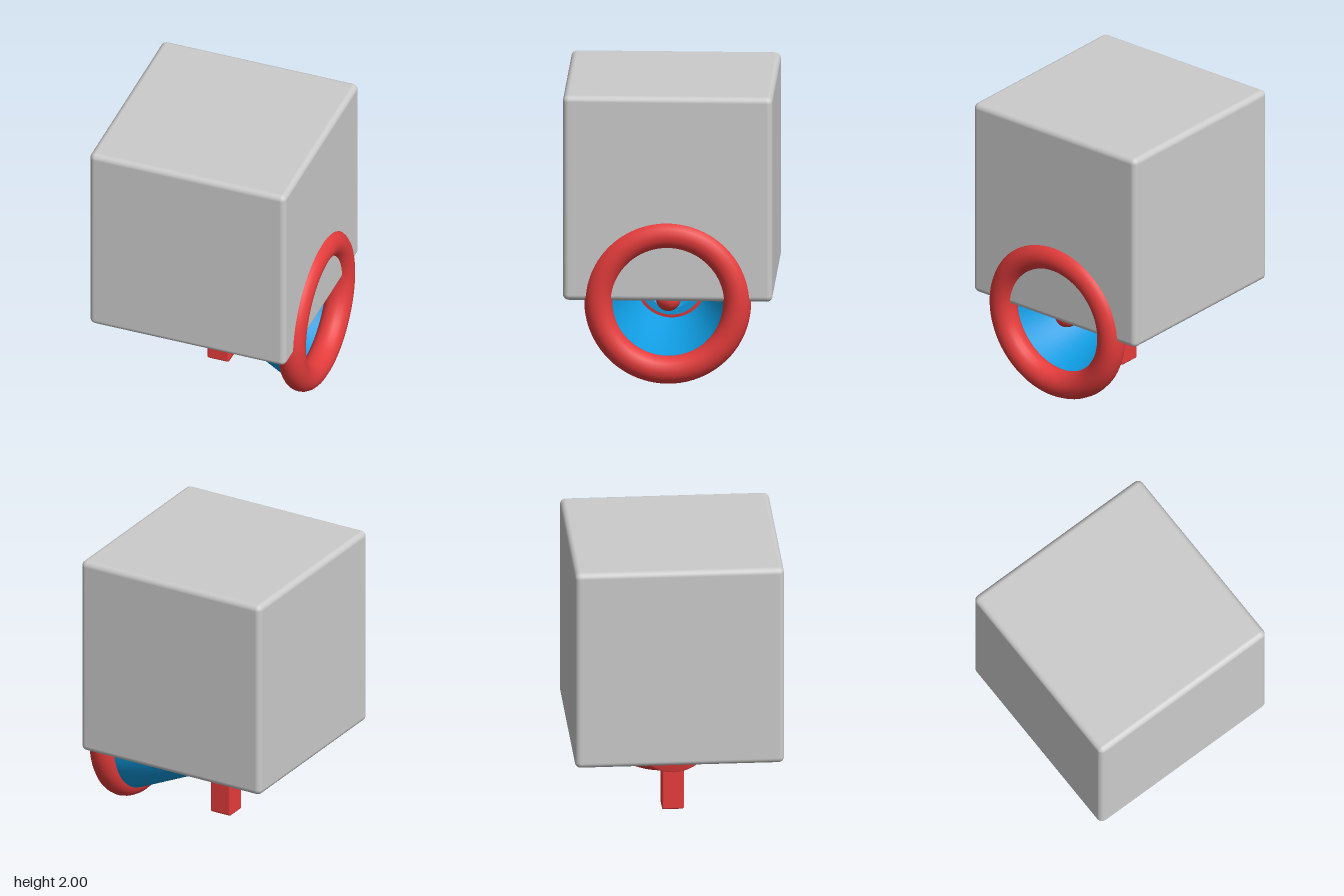
import * as THREE from 'three';
import { RoundedBoxGeometry } from 'three/addons/geometries/RoundedBoxGeometry.js';
import { toCreasedNormals } from 'three/addons/utils/BufferGeometryUtils.js';

const material = (color) => new THREE.MeshStandardMaterial({ color, side: THREE.DoubleSide });
const AXIS_Y = 0.57; // height of the horn's axis

export function createModel() {
  const model = new THREE.Group();
  const grey = material(0xcccccc);
  const red = material(0xe63c3c);
  const blue = material(0x0f9be0);

  const add = (parent, name, geometry, mat, x = 0, y = 0, z = 0) => {
    const mesh = new THREE.Mesh(geometry, mat);
    mesh.name = name;
    mesh.position.set(x, y, z);
    parent.add(mesh);
    return mesh;
  };

  // Large block with softened edges
  add(model, 'block', new RoundedBoxGeometry(1.42, 1.42, 1.42, 4, 0.04), grey, -0.03, 1.29, 0);

  // Megaphone: round parts turned about the x axis, profiles as [radius, x]
  const megaphone = new THREE.Group();
  megaphone.name = 'megaphone';
  model.add(megaphone);
  const turn = (name, profile, mat) => {
    const points = profile.map(([r, x]) => new THREE.Vector2(r, x));
    const geometry = toCreasedNormals(new THREE.LatheGeometry(points, 64), 0.6);
    add(megaphone, name, geometry, mat, 0, AXIS_Y, 0).rotation.z = -Math.PI / 2;
  };

  // Rear housing with small bevels
  turn('housing', [[0, -0.185], [0.245, -0.185], [0.256, -0.18], [0.26, -0.168],
    [0.26, 0.055], [0.215, 0.065], [0, 0.065]], red);

  // Hollow flared horn
  turn('horn', [[0.24, 0.055], [0.268, 0.055], [0.49, 0.55], [0.49, 0.62],
    [0.455, 0.62], [0.455, 0.55], [0.24, 0.055]], blue);

  // Stepped inner horn around the central stalk
  turn('innerHorn', [[0.215, 0.06], [0.215, 0.09], [0.185, 0.09], [0.185, 0.11],
    [0.165, 0.11], [0.13, 0.075], [0.05, 0.07]], blue);
  turn('stalk', [[0, 0.06], [0.05, 0.06], [0.05, 0.5], [0, 0.5]], blue);
  turn('bulb', [[0, 0.47], [0.052, 0.47], [0.085, 0.52], [0.083, 0.55],
    [0.07, 0.585], [0.043, 0.61], [0, 0.62]], red);

  // Thick ring round the mouth
  const rim = add(megaphone, 'rim', new THREE.TorusGeometry(0.47, 0.095, 20, 80), red, 0.64, AXIS_Y, 0);
  rim.rotation.y = Math.PI / 2;

  // Grip and trigger
  add(megaphone, 'grip', new RoundedBoxGeometry(0.16, 0.38, 0.15, 3, 0.014), red, -0.045, 0.21, 0);
  add(megaphone, 'trigger', new RoundedBoxGeometry(0.06, 0.045, 0.045, 3, 0.018), red, 0.045, 0.283, 0);

  return model;
}
